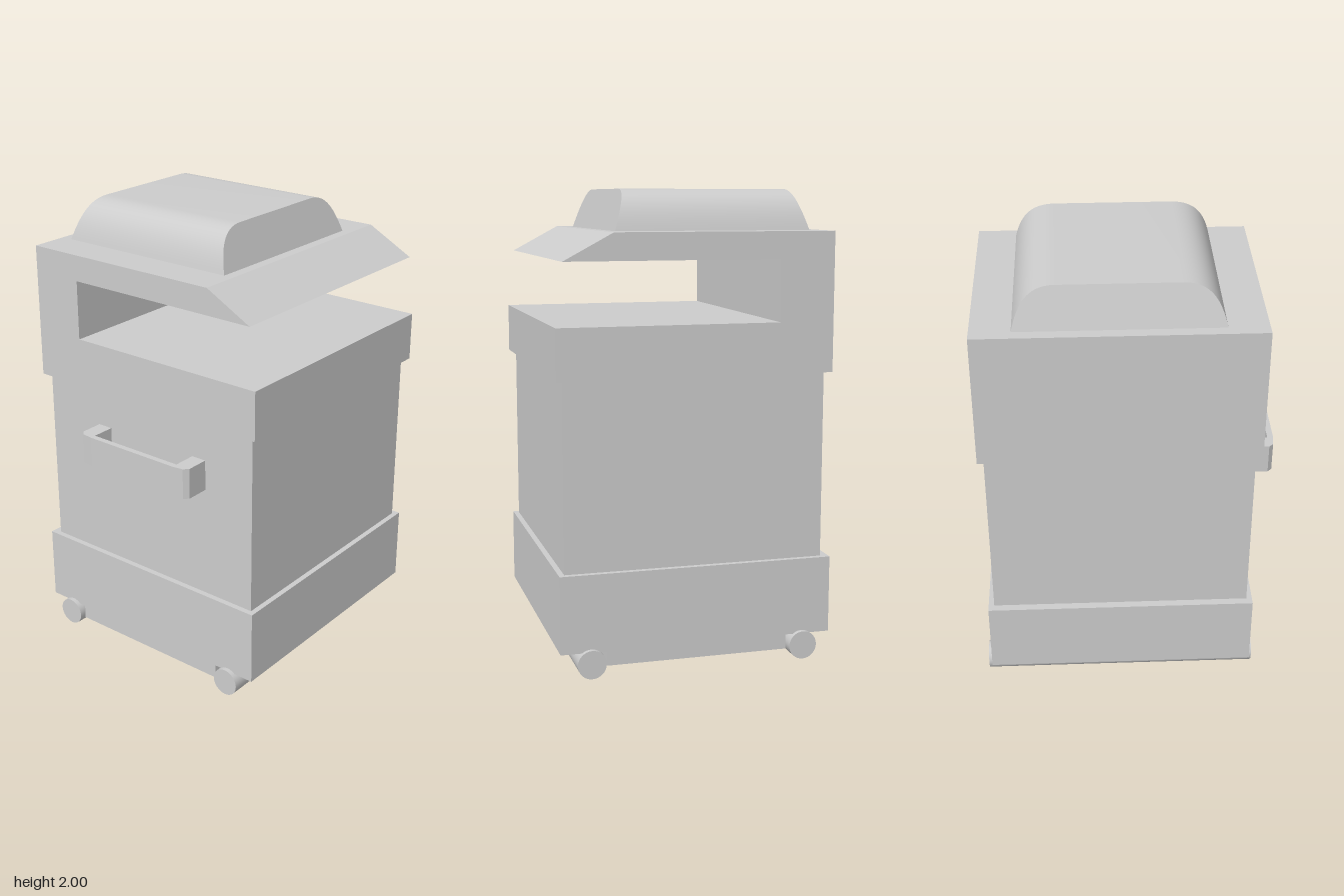
import * as THREE from 'three';
import { toCreasedNormals } from 'three/addons/utils/BufferGeometryUtils.js';

const grey = new THREE.MeshStandardMaterial({ color: 0xcccccc });

export function createModel() {
  const model = new THREE.Group();

  const add = (name, geometry) => {
    const mesh = new THREE.Mesh(geometry, grey);
    mesh.name = name;
    model.add(mesh);
    return mesh;
  };
  const outline = (points) => new THREE.Shape(points.map(([x, y]) => new THREE.Vector2(x, y)));
  const extrude = (shape, depth, curveSegments = 12) =>
    new THREE.ExtrudeGeometry(shape, { depth, bevelEnabled: false, curveSegments });

  const zBack = -0.63, zFront = 0.545;

  // Base, stepped up at both sides to clear the rollers
  const base = outline([
    [-0.4, 0.045], [0.39, 0.045], [0.39, 0.108], [0.585, 0.108],
    [0.585, 0.44], [-0.595, 0.44], [-0.595, 0.108], [-0.4, 0.108],
  ]);
  add('base', extrude(base, zFront - zBack).translate(0, 0, zBack));

  // Main cabinet
  add('cabinet', new THREE.BoxGeometry(1.122, 0.8, 1.125).translate(0, 0.84, -0.0425));

  // Upper housing with an open output slot and a sloped overhang
  const housing = outline([
    [-0.59, 1.24], [0.59, 1.24], [0.59, 1.455], [-0.355, 1.455],
    [-0.355, 1.715], [0.56, 1.715], [0.35, 1.828], [-0.59, 1.828],
  ]);
  add('upperHousing', extrude(housing, zFront - zBack).translate(0, 0, zBack));

  // Rounded lid: profile swept along x, its ends leaning inward with height
  const y0 = 1.828, y1 = 2;
  const lid = new THREE.Shape();
  lid.moveTo(-0.38, y0);
  lid.lineTo(0.465, y0);
  lid.bezierCurveTo(0.44, 1.93, 0.4, y1, 0.29, y1);
  lid.lineTo(-0.205, y1);
  lid.bezierCurveTo(-0.315, y1, -0.355, 1.93, -0.38, y0);
  const lidGeometry = extrude(lid, 1, 16).rotateY(Math.PI / 2);
  const p = lidGeometry.attributes.position;
  for (let i = 0; i < p.count; i++) {
    const lean = 0.056 * (p.getY(i) - y0) / (y1 - y0);
    p.setX(i, THREE.MathUtils.lerp(-0.541 + lean, 0.306 - lean, p.getX(i)));
  }
  add('lid', toCreasedNormals(lidGeometry, 0.5));

  // Drawer handle, drawn in plan and extruded upward
  const handle = outline([
    [-0.28, 0.51], [-0.21, 0.51], [-0.21, 0.622], [0.248, 0.622], [0.248, 0.51], [0.317, 0.51],
    [0.317, 0.622], [0.297, 0.641], [0.25, 0.648], [-0.212, 0.648], [-0.262, 0.641], [-0.28, 0.622],
  ]);
  add('handle', extrude(handle, 0.135).rotateX(Math.PI / 2).translate(0, 1.07, 0));

  // Full-depth rollers under each side
  for (const [name, x] of [['rightRoller', -0.471], ['leftRoller', 0.456]]) {
    const roller = new THREE.CylinderGeometry(0.061, 0.061, 1.215, 32).rotateX(Math.PI / 2);
    add(name, roller).position.set(x, 0.061, -0.0425);
  }

  return model;
}
